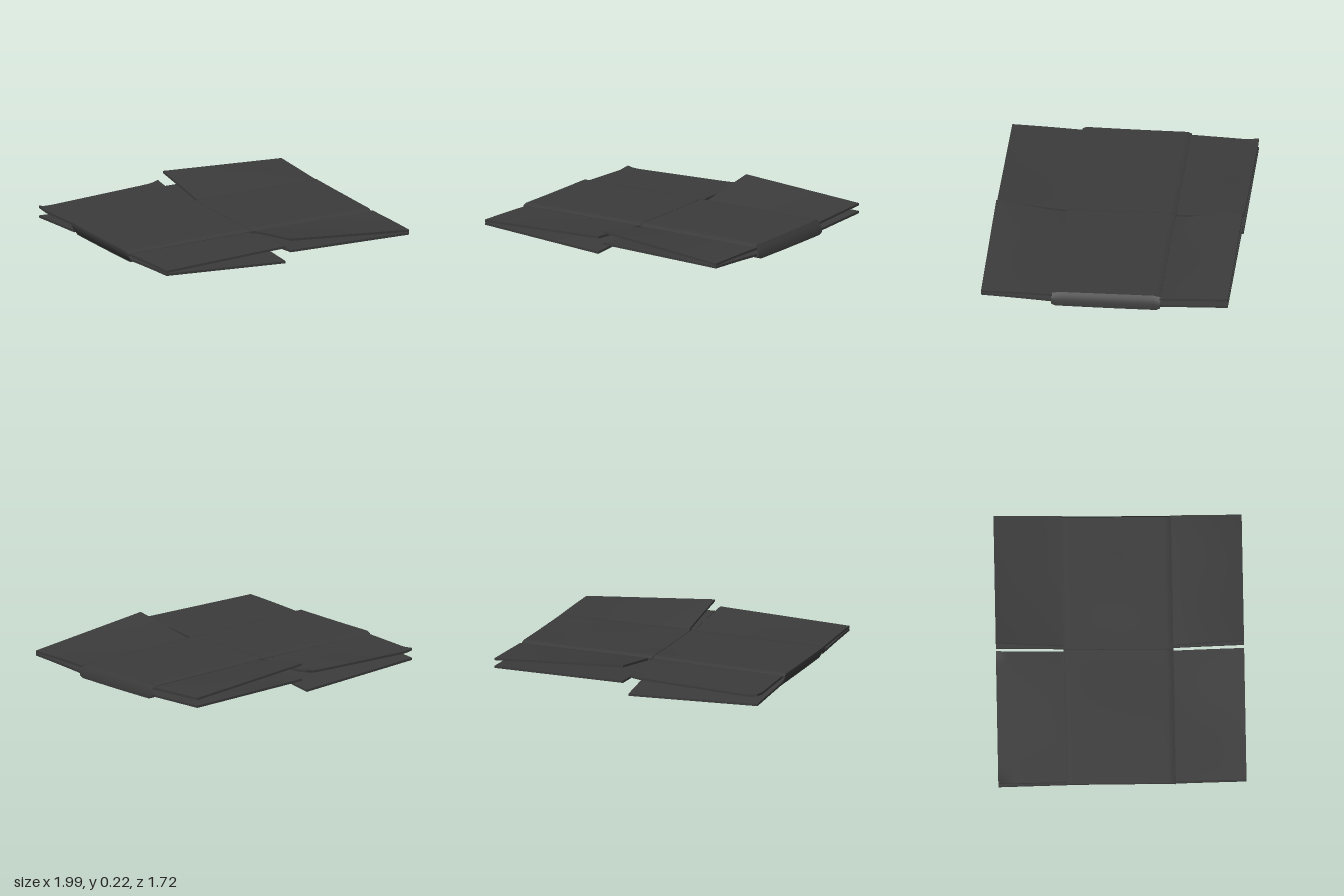
import * as THREE from 'three';

const cardboard = new THREE.MeshStandardMaterial({ color: 0x3b3b3b, roughness: 0.9, side: THREE.DoubleSide });
const lerp = THREE.MathUtils.lerp;

// A thin board spanning x0..x1 and z0..z1 (z0 is the back edge).
// y = mid-heights at the corners: [back x0, back x1, front x0, front x1].
// curl lifts the corners of the back edge; pinch bends both creased edges.
function board(name, [x0, x1], [z0, z1], y, { curl = 0, pinch = 0 } = {}) {
  const geo = new THREE.BoxGeometry(1, 1, 1, 24, 1, 32);
  const p = geo.attributes.position;
  for (let i = 0; i < p.count; i++) {
    const u = p.getX(i) + 0.5, v = p.getZ(i) + 0.5;
    const base = lerp(lerp(y[0], y[1], u), lerp(y[2], y[3], u), v);
    // gentle warp of the sheet
    const warp = 0.002 * Math.sin(u * 6.5 + z0 * 4) * Math.sin(v * Math.PI);
    const corner = curl * Math.max(0, 1 - v * 5) * Math.abs(2 * u - 1) ** 14;
    const bend = pinch * Math.abs(2 * v - 1) ** 40;
    p.setXYZ(i, lerp(x0, x1, u), base + warp + corner + bend + p.getY(i) * 0.016, lerp(z0, z1, v));
  }
  geo.computeVertexNormals();
  const mesh = new THREE.Mesh(geo, cardboard);
  mesh.name = name;
  return mesh;
}

// Leaning, slightly rounded fold joining the upper and lower middle panels.
// xLow and xHigh are its lower and upper edge, yBack and yFront its [low, high] heights.
function sideFold(name, xLow, xHigh, yBack, yFront) {
  const geo = new THREE.PlaneGeometry(1, 1, 16, 6);
  const p = geo.attributes.position;
  const side = Math.sign(xLow);
  for (let i = 0; i < p.count; i++) {
    const t = p.getX(i) + 0.5, h = p.getY(i) + 0.5;
    const end = Math.abs(2 * t - 1) ** 40;
    const lo = lerp(yBack[0], yFront[0], t) + 0.012 * end;
    const hi = lerp(yBack[1], yFront[1], t) - 0.01 * end;
    const bulge = 0.008 * Math.sin(h * Math.PI);
    p.setXYZ(i, lerp(xLow, xHigh, h) + side * bulge, lerp(lo, hi, h), lerp(-0.39, 0.37, t));
  }
  geo.computeVertexNormals();
  const mesh = new THREE.Mesh(geo, cardboard);
  mesh.name = name;
  return mesh;
}

export function createModel() {
  const group = new THREE.Group();
  group.name = 'flattenedBox';

  const middle = [-0.39, 0.37], back = [-0.86, -0.385], front = [0.365, 0.86];
  const rightX = [-0.98, -0.018], leftX = [0.023, 0.98];
  const upperBend = { pinch: -0.012 }, lowerBend = { pinch: 0.014 };

  group.add(
    // middle panels, split by a narrow seam on the upper layer
    board('upperRightPanel', [-0.997, -0.013], middle, [0.125, 0.137, 0.11, 0.115], upperBend),
    board('upperLeftPanel', [-0.009, 0.965], middle, [0.137, 0.134, 0.115, 0.11], upperBend),
    board('lowerPanel', [-0.965, 0.997], middle, [0.054, 0.05, 0.044, 0.032], lowerBend),
    sideFold('rightFold', -0.965, -0.997, [0.05, 0.13], [0.04, 0.115]),
    sideFold('leftFold', 0.997, 0.965, [0.044, 0.14], [0.026, 0.117]),

    // upper flaps
    board('upperBackRightFlap', rightX, back, [0.105, 0.137, 0.114, 0.122], { curl: 0.014 }),
    board('upperBackLeftFlap', leftX, back, [0.21, 0.15, 0.122, 0.118]),
    board('upperFrontRightFlap', rightX, front, [0.096, 0.1, 0.105, 0.132]),
    board('upperFrontLeftFlap', leftX, front, [0.102, 0.098, 0.178, 0.09]),

    // lower flaps
    board('lowerBackRightFlap', rightX, back, [0.048, 0.009, 0.068, 0.064]),
    board('lowerBackLeftFlap', leftX, back, [0.098, 0.094, 0.066, 0.066]),
    board('lowerFrontRightFlap', rightX, front, [0.064, 0.058, 0.084, 0.022]),
    board('lowerFrontLeftFlap', leftX, front, [0.055, 0.052, 0.095, 0.07]),
  );
  return group;
}
